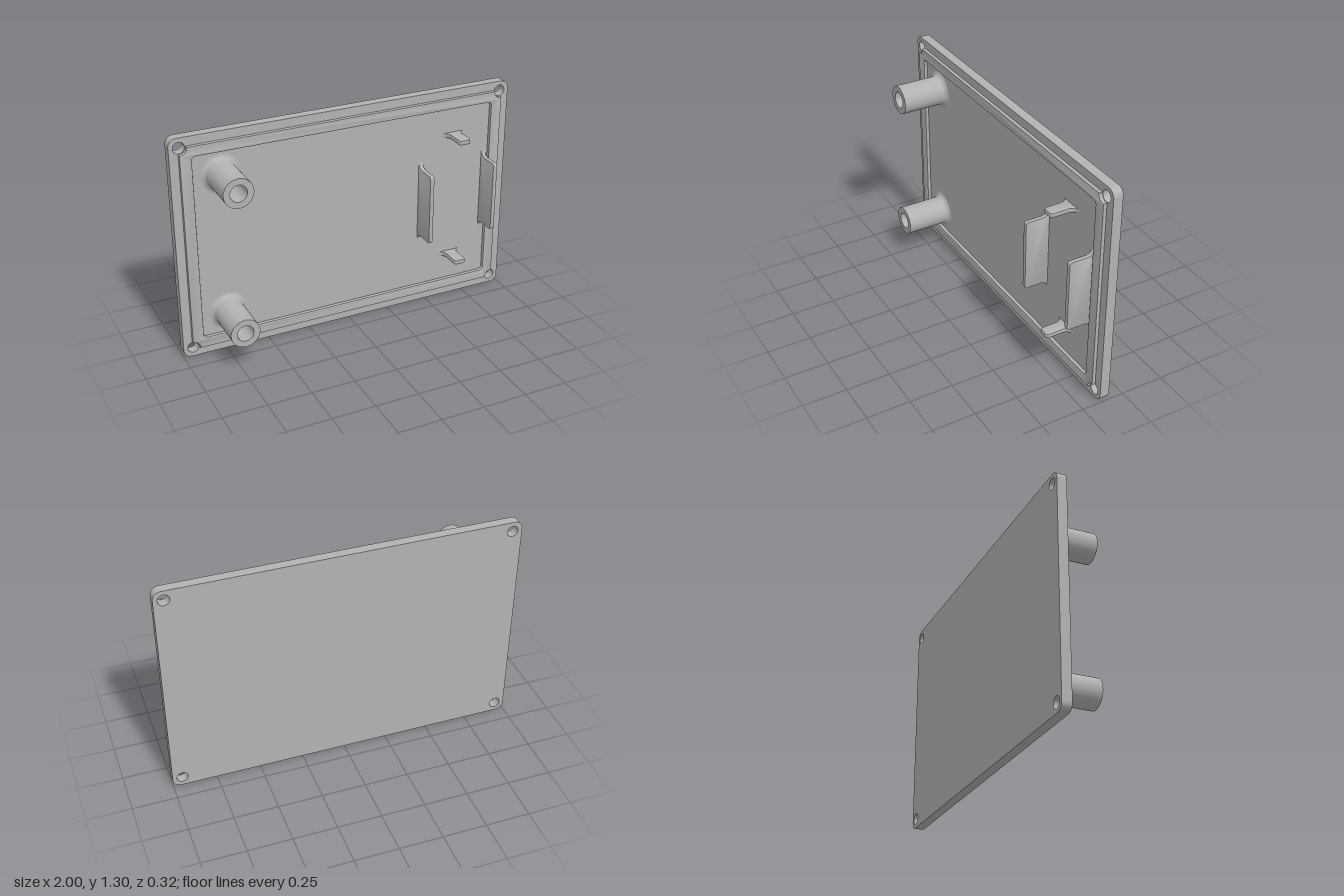
import * as THREE from 'three';
import { toCreasedNormals } from 'three/addons/utils/BufferGeometryUtils.js';

const FLOOR = -0.105; // front face of the plate
const BACK = -0.16;
const MID_Y = 0.65;
const HOLE_X = 0.945, HOLE_Y = 0.595;
const CORNERS = [[1, 1], [-1, 1], [-1, -1], [1, -1]];

// Rounded rectangle centred on the origin, from half sizes
function roundedRect(path, w, h, r) {
  path.moveTo(w, -h + r);
  CORNERS.forEach(([sx, sy], k) => {
    const a = k * Math.PI / 2;
    path.absarc(sx * (w - r), sy * (h - r), r, a, a + Math.PI / 2, false);
  });
  path.closePath();
  return path;
}

function extrude(shape, depth, bevel = 0) {
  const geo = new THREE.ExtrudeGeometry(shape, {
    depth: depth - 2 * bevel, curveSegments: 12, bevelEnabled: bevel > 0,
    bevelSize: bevel, bevelThickness: bevel, bevelOffset: -bevel, bevelSegments: 2,
  });
  geo.translate(0, 0, bevel);
  return toCreasedNormals(geo, 0.6);
}

// Upright rib outline: flared foot, rounded top corners
function ribShape(half, height, foot, round) {
  const s = new THREE.Shape();
  s.moveTo(-half - foot, -0.005);
  s.lineTo(half + foot, -0.005);
  s.lineTo(half + foot, 0);
  s.absarc(half + foot, foot, foot, -Math.PI / 2, -Math.PI, true);
  s.absarc(half - round, height - round, round, 0, Math.PI / 2, false);
  s.absarc(-half + round, height - round, round, Math.PI / 2, Math.PI, false);
  s.absarc(-half - foot, foot, foot, 0, -Math.PI / 2, true);
  s.closePath();
  return s;
}

export function createModel() {
  const group = new THREE.Group();
  const grey = new THREE.MeshStandardMaterial({ color: 0xb2b2b2 });
  grey.name = 'grey plastic';
  const add = (name, geo, x, y, z) => {
    const mesh = new THREE.Mesh(geo, grey);
    mesh.name = name;
    mesh.position.set(x, y, z);
    group.add(mesh);
  };

  // Cover plate with four screw holes
  const plate = roundedRect(new THREE.Shape(), 1, MID_Y, 0.045);
  for (const [sx, sy] of CORNERS) {
    plate.holes.push(new THREE.Path().absarc(sx * HOLE_X, sy * HOLE_Y, 0.032, 0, Math.PI * 2, true));
  }
  add('coverPlate', extrude(plate, FLOOR - BACK), 0, MID_Y, BACK);

  // Raised locating lip, notched around the screw holes
  const lip = new THREE.Shape();
  const notch = 0.036;
  const lean = Math.asin(0.005 / notch);
  CORNERS.forEach(([sx, sy], k) => {
    const turn = k * Math.PI / 2;
    lip.absarc(sx * HOLE_X, sy * HOLE_Y, notch, turn - Math.PI / 2 + lean, turn - Math.PI - lean, true);
  });
  lip.closePath();
  lip.holes.push(roundedRect(new THREE.Path(), 0.885, 0.54, 0.022));
  add('locatingLip', extrude(lip, 0.032, 0.006), 0, MID_Y, FLOOR - 0.012);

  // Hollow screw posts with a filleted base
  const R = 0.083, BORE = 0.047, FILLET = 0.03, HEIGHT = 0.16 - FLOOR;
  const profile = [];
  for (let i = 0; i <= 6; i++) {
    const a = (i / 6) * Math.PI / 2;
    profile.push(new THREE.Vector2(R + FILLET * (1 - Math.sin(a)), FILLET * (1 - Math.cos(a))));
  }
  profile.push(
    new THREE.Vector2(R, HEIGHT), new THREE.Vector2(BORE, HEIGHT),
    new THREE.Vector2(BORE, 0.1), new THREE.Vector2(0, 0.1),
  );
  const post = toCreasedNormals(new THREE.LatheGeometry(profile, 40).rotateX(Math.PI / 2), 0.6);
  for (const y of [1.06, 0.236]) add('screwPost', post, -0.73, y, FLOOR);

  // Long side ribs and short end tabs around the component bay
  const X = new THREE.Vector3(1, 0, 0), Y = new THREE.Vector3(0, 1, 0), Z = new THREE.Vector3(0, 0, 1);
  const THICK = 0.026;
  const rib = (half) => extrude(ribShape(half, 0.035 - FLOOR, 0.038, 0.016), THICK, 0.004)
    .translate(0, 0, -THICK / 2);
  const sideRib = rib(0.208).applyMatrix4(new THREE.Matrix4().makeBasis(Y, Z, X));
  const endTab = rib(0.035).applyMatrix4(new THREE.Matrix4().makeBasis(X, Z, Y.clone().negate()));
  for (const x of [0.452, 0.859]) add('sideRib', sideRib, x, 0.653, FLOOR);
  for (const y of [1.031, 0.276]) add('endTab', endTab, 0.655, y, FLOOR);

  return group;
}
